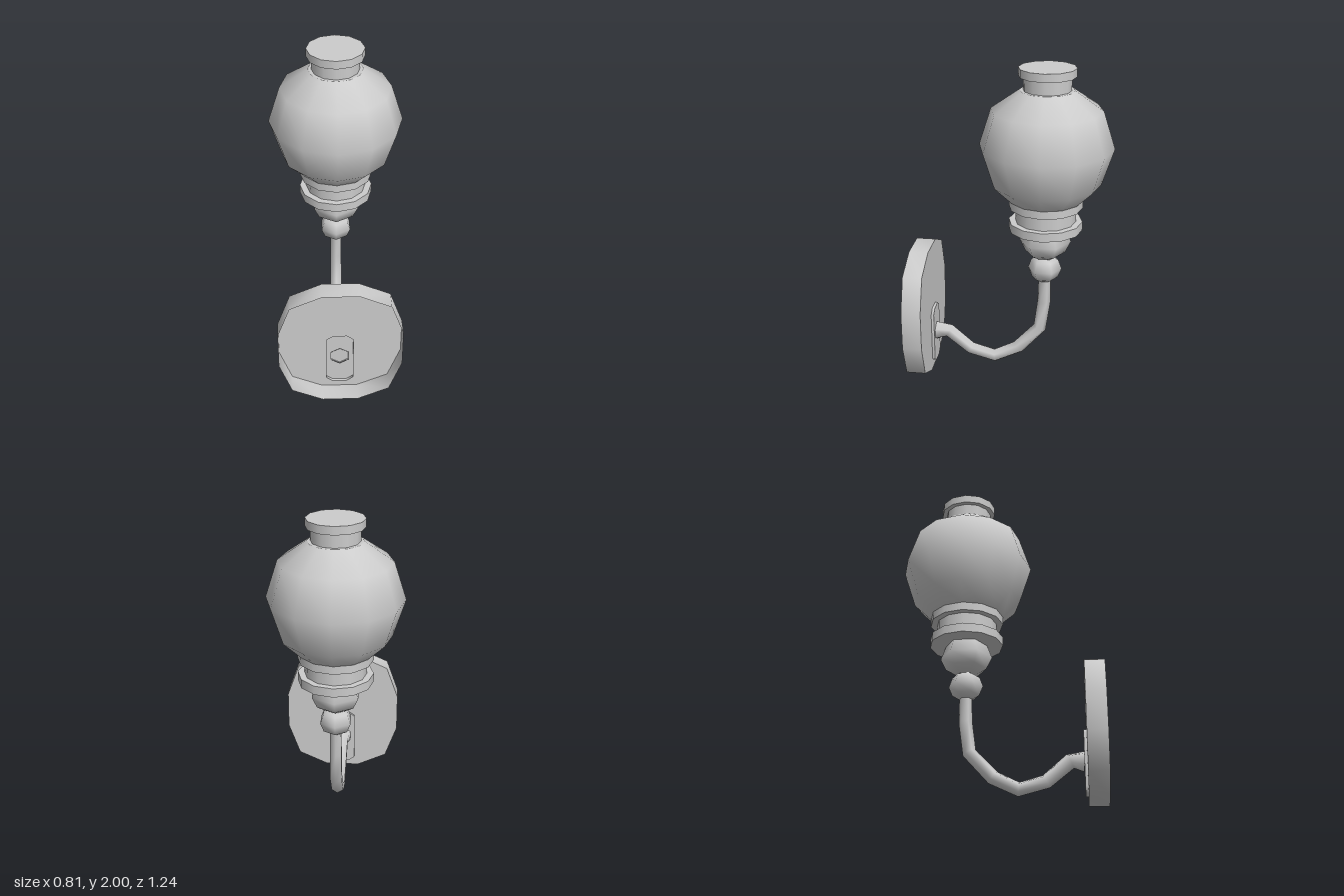
import * as THREE from 'three';

const gray = new THREE.MeshStandardMaterial({ color: 0xcccccc, side: THREE.DoubleSide });
gray.name = 'plain gray';

const AXIS_Z = -0.217; // vertical axis of the lamp

function add(group, name, geometry, x = 0, y = 0, z = 0) {
  const mesh = new THREE.Mesh(geometry, gray);
  mesh.name = name;
  mesh.position.set(x, y, z);
  group.add(mesh);
  return mesh;
}

// Smooth skin through closed rings of equal point count
function loft(rings) {
  const n = rings[0].length;
  const index = [];
  for (let i = 0; i < rings.length - 1; i++) {
    for (let j = 0; j < n; j++) {
      const k = (j + 1) % n;
      const a = i * n + j, b = i * n + k, c = a + n, d = b + n;
      index.push(a, c, b, b, c, d);
    }
  }
  const geometry = new THREE.BufferGeometry().setFromPoints(rings.flat());
  geometry.setIndex(index);
  geometry.computeVertexNormals();
  return geometry;
}

const ringAt = (points, z) => points.map(([x, y]) => new THREE.Vector3(x, y, z));

function sheet(points, hole) {
  const toV2 = list => list.map(([x, y]) => new THREE.Vector2(x, y));
  const shape = new THREE.Shape(toV2(points));
  if (hole) shape.holes.push(new THREE.Path(toV2(hole)));
  return new THREE.ShapeGeometry(shape);
}

// Mirror a quarter outline into a full counter-clockwise outline
function fourWay(quarter, cy) {
  const back = [...quarter].reverse();
  return [
    ...quarter.map(([x, y]) => [x, cy + y]),
    ...back.map(([x, y]) => [-x, cy + y]),
    ...quarter.map(([x, y]) => [-x, cy - y]),
    ...back.map(([x, y]) => [x, cy - y]),
  ];
}

const hexagon = (r, cy) => Array.from({ length: 6 }, (_, j) => {
  const a = Math.PI / 6 + j * Math.PI / 3;
  return [r * Math.cos(a), cy + r * Math.sin(a)];
});

// Hollow wall plate, open toward +z, with a shallow bracket pressed out of it
function wallPlate() {
  const group = new THREE.Group();
  group.name = 'wallPlate';
  const plate = fourWay([[0.374, 0.12], [0.298, 0.332], [0.11, 0.418]], 0.42);
  const bracket = fourWay([[0.083, 0.16], [0.042, 0.19]], 0.23);
  const socket = hexagon(0.063, 0.24);
  add(group, 'plateRim', loft([ringAt(plate, 0.62), ringAt(plate, 0.5)]));
  add(group, 'plateFace', sheet(plate, bracket), 0, 0, 0.5);
  add(group, 'bracketRim', loft([ringAt(bracket, 0.5), ringAt(bracket, 0.483)]));
  add(group, 'bracketFace', sheet(bracket, socket), 0, 0, 0.483);
  add(group, 'socketCap', sheet(hexagon(0.061, 0.24)), 0, 0, 0.475);
  return group;
}

// Curved six-sided arm, swept along [z, y, radius]
function armGeometry() {
  const path = [
    [0.483, 0.24, 0.063], [0.4, 0.243, 0.047], [0.26, 0.126, 0.043], [0.1, 0.083, 0.043],
    [-0.05, 0.157, 0.043], [-0.19, 0.312, 0.042], [-0.215, 0.5, 0.041], [-0.217, 0.68, 0.038],
  ];
  const rings = path.map(([z, y, r], i) => {
    const p = path[Math.max(i - 1, 0)], q = path[Math.min(i + 1, path.length - 1)];
    const len = Math.hypot(q[0] - p[0], q[1] - p[1]);
    const tz = (q[0] - p[0]) / len, ty = (q[1] - p[1]) / len;
    return hexagon(r, 0).map(([u, v]) => new THREE.Vector3(u, y - tz * v, z + ty * v));
  });
  return loft(rings);
}

// Everything turned around the vertical axis
function lamp() {
  const group = new THREE.Group();
  group.name = 'lamp';
  group.position.z = AXIS_Z;
  const lathe = (name, profile, sides) =>
    add(group, name, new THREE.LatheGeometry(profile.map(([r, y]) => new THREE.Vector2(r, y)), sides));
  const disc = (name, r, y0, y1) =>
    add(group, name, new THREE.CylinderGeometry(r, r, y1 - y0, 12), 0, (y0 + y1) / 2, 0);

  lathe('lowerBead', [[0, 0.65], [0.04, 0.65], [0.082, 0.675], [0.105, 0.733], [0.084, 0.79], [0.045, 0.812], [0, 0.812]], 6);
  lathe('upperBead', [[0, 0.81], [0.07, 0.815], [0.125, 0.848], [0.159, 0.92], [0.127, 1.005]], 6);
  disc('collarBottomRing', 0.226, 1.0, 1.055);
  disc('collar', 0.186, 1.055, 1.145);
  disc('collarTopRing', 0.226, 1.145, 1.195);
  lathe('globe', [[0.225, 1.195], [0.333, 1.3], [0.405, 1.525], [0.333, 1.75], [0.163, 1.868]], 12);
  disc('globeShoulder', 0.163, 1.864, 1.868);
  disc('neck', 0.143, 1.865, 1.95);
  disc('topCap', 0.172, 1.95, 2.0);
  return group;
}

export function createModel() {
  const model = new THREE.Group();
  model.name = 'wallSconce';
  model.add(wallPlate(), lamp());
  add(model, 'arm', armGeometry());
  return model;
}
